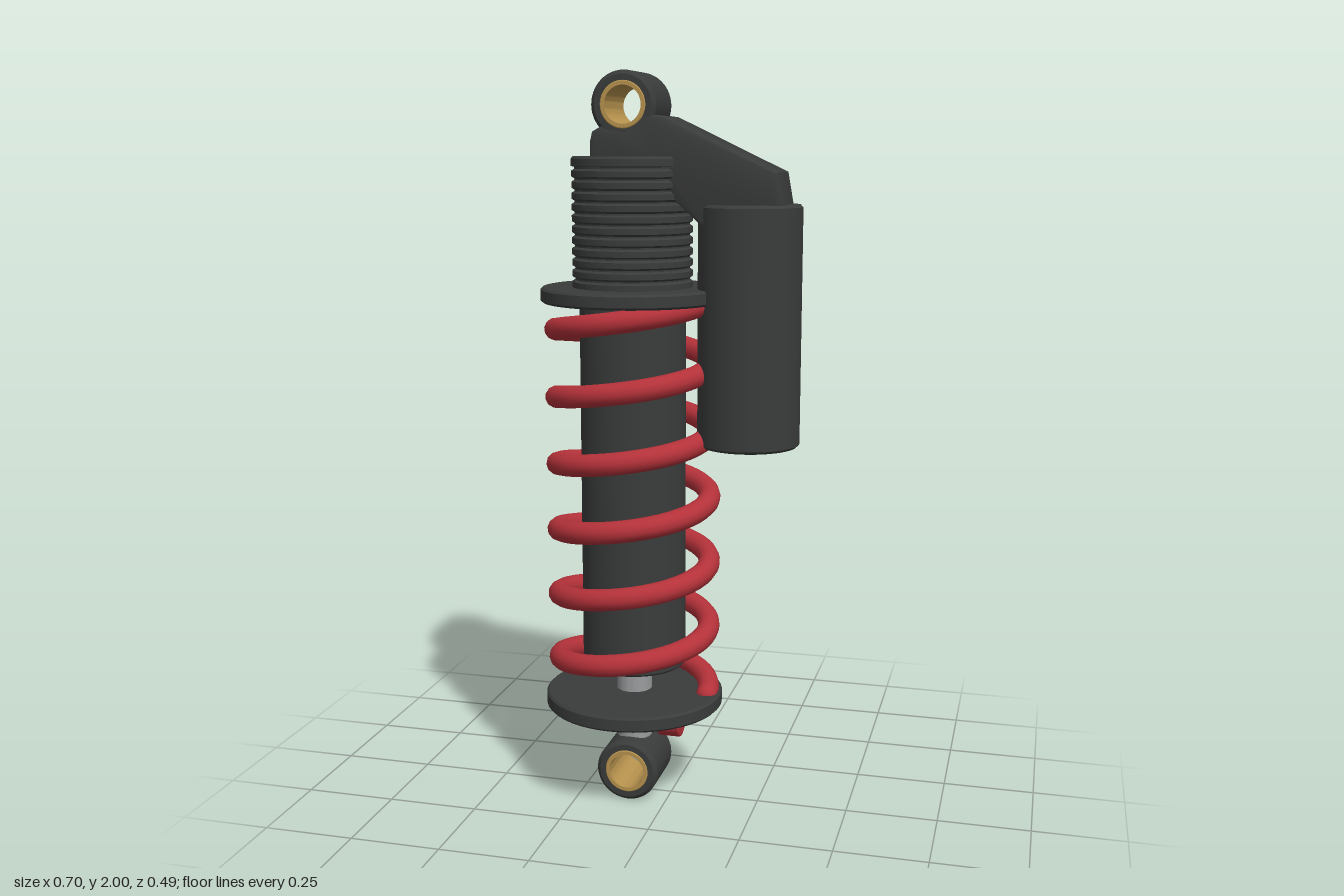
import * as THREE from 'three';
import { toCreasedNormals } from 'three/addons/utils/BufferGeometryUtils.js';

const AXIS = -0.107; // x of the damper axis
const mat = (color) => new THREE.MeshStandardMaterial({ color });
const dark = mat(0x3a3c3b), red = mat(0xb5323a), brass = mat(0xb8934e), steel = mat(0x999c9d);

// Turned part: profile of [radius, y] running upwards on the outside
function lathe(profile, segments = 48) {
  const g = new THREE.LatheGeometry(profile.map(([r, y]) => new THREE.Vector2(r, y)), segments);
  return toCreasedNormals(g, 0.6);
}

// Solid cylinder with a small chamfer between two heights
function turned(r, y0, y1, c = 0.006) {
  return lathe([[0, y0], [r - c, y0], [r, y0 + c], [r, y1 - c], [r - c, y1], [0, y1]]);
}

// Ring with a hole, centred, lying along z
function ring(rOut, rIn, half, c) {
  return lathe([[rIn, -half], [rOut - c, -half], [rOut, -half + c], [rOut, half - c],
    [rOut - c, half], [rIn, half], [rIn, -half]]).rotateX(Math.PI / 2);
}

// Helix that rises from the lower perch to the upper perch
class Helix extends THREE.Curve {
  constructor(radius, y0, pitch, turns) {
    super();
    Object.assign(this, { radius, y0, pitch, turns });
  }
  getPoint(t, target = new THREE.Vector3()) {
    const a = t * this.turns * Math.PI * 2;
    return target.set(this.radius * Math.cos(a), this.y0 + this.pitch * this.turns * t, -this.radius * Math.sin(a));
  }
}

export function createModel() {
  const model = new THREE.Group();
  const add = (name, geometry, material, x = AXIS, y = 0, z = 0) => {
    const mesh = new THREE.Mesh(geometry, material);
    mesh.name = name;
    mesh.position.set(x, y, z);
    model.add(mesh);
    return mesh;
  };

  // Mounting eyes with brass bushings
  for (const [name, y] of [['lower', 0.09], ['upper', 1.913]]) {
    add(name + 'Eye', ring(0.087, 0.058, 0.087, 0.01), dark, AXIS, y);
    add(name + 'Bushing', ring(0.062, 0.049, 0.089, 0.003), brass, AXIS, y);
  }

  // Piston rod, damper body and perches
  add('pistonRod', turned(0.049, 0.165, 0.5), steel);
  add('damperBody', turned(0.143, 0.387, 1.45), dark);
  add('lowerPerch', turned(0.247, 0.268, 0.31), dark);
  add('upperPerch', turned(0.247, 1.4, 1.44), dark);

  // Threaded sleeve
  const thread = [[0, 1.43], [0.152, 1.43]];
  const count = 11, step = 0.029;
  for (let i = 0; i < count; i++) {
    const y = 1.435 + i * step;
    thread.push([0.153, y], [0.161, y + 0.005], [0.161, y + step - 0.009], [0.153, y + step - 0.004]);
  }
  thread.push([0.153, 1.755], [0.162, 1.757], [0.162, 1.776], [0.157, 1.782], [0, 1.782]);
  add('threadedSleeve', lathe(thread), dark);

  // Coil spring with closed ends
  const helix = new Helix(0.209, 0.305, 0.184, 6);
  add('spring', new THREE.TubeGeometry(helix, 288, 0.03, 12), red);
  for (const t of [0, 1]) {
    const p = helix.getPoint(t);
    add('springEnd', new THREE.SphereGeometry(0.03, 12, 8), red, AXIS + p.x, p.y, p.z);
  }

  // Bridge from the upper eye to the reservoir
  const bridge = new THREE.Shape([
    [-0.198, 1.74], [0.0, 1.74], [0.03, 1.67], [0.108, 1.6], [0.16, 1.6], [0.3, 1.64],
    [0.312, 1.66], [0.297, 1.742], [0.0, 1.883], [-0.05, 1.89], [-0.107, 1.85],
    [-0.165, 1.86], [-0.192, 1.845], [-0.198, 1.82],
  ].map(([x, y]) => new THREE.Vector2(x, y)));
  const bridgeGeo = new THREE.ExtrudeGeometry(bridge, {
    depth: 0.156, bevelThickness: 0.01, bevelSize: 0.01, bevelOffset: -0.01, bevelSegments: 2,
  }).translate(0, 0, -0.078);
  add('bridge', toCreasedNormals(bridgeGeo, 0.5), dark, 0);

  // Side reservoir
  add('reservoir', turned(0.137, 1.022, 1.66, 0.007), dark, 0.213);

  // Rebound adjuster knob
  add('adjusterKnob', turned(0.046, -0.031, 0.031, 0.003).rotateZ(-Math.PI / 2), red, 0, 0.221);

  return model;
}
